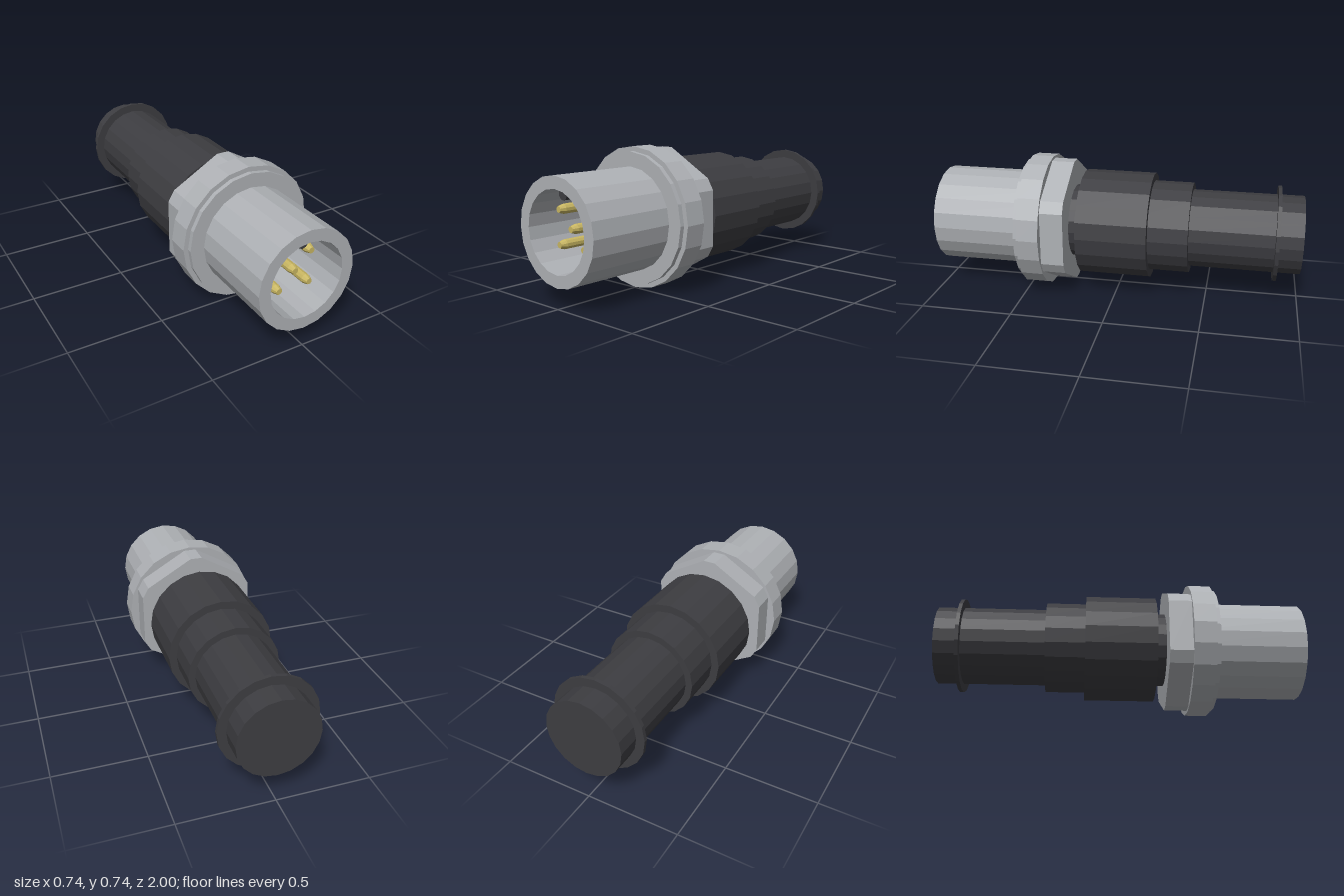
import * as THREE from 'three';

const AXIS_Y = 0.37;
const SIDES = 20;

export function createModel() {
  const metal = new THREE.MeshStandardMaterial({ color: 0xaeb1b5 });
  metal.name = 'nickel grey';
  const plastic = new THREE.MeshStandardMaterial({ color: 0x3d3d41 });
  plastic.name = 'black plastic';
  const gold = new THREE.MeshStandardMaterial({ color: 0xc8b662 });
  gold.name = 'gold contact';

  const connector = new THREE.Group();
  connector.name = 'connector';
  connector.position.y = AXIS_Y;

  // Adds a mesh with faceted normals
  function add(name, geometry, material, x = 0, y = 0) {
    const faceted = geometry.index ? geometry.toNonIndexed() : geometry;
    faceted.computeVertexNormals();
    const mesh = new THREE.Mesh(faceted, material);
    mesh.name = name;
    mesh.position.set(x, y, 0);
    connector.add(mesh);
    return mesh;
  }

  // Revolves [radius, z] pairs about the z axis, running from back to front
  function turned(profile, sides = SIDES) {
    const points = profile.map(([r, z]) => new THREE.Vector2(r, z));
    return new THREE.LatheGeometry(points, sides).rotateX(Math.PI / 2);
  }
  const rod = (r, z0, z1, sides) => turned([[0, z0], [r, z0], [r, z1], [0, z1]], sides);
  const sleeve = (outer, inner, z0, z1) =>
    turned([[inner, z0], [outer, z0], [outer, z1], [inner, z1], [inner, z0]]);

  // Threaded shell and stepped flange
  add('shell', sleeve(0.267, 0.204, 0.375, 1), metal);
  add('flange', turned([
    [0.26, 0.375], [0.368, 0.375], [0.368, 0.495], [0.343, 0.495], [0.343, 0.52], [0.26, 0.52],
  ]), metal);

  // Hexagonal nut with its corners cut back
  const apothem = 0.32, reach = 0.35;
  const cut = (apothem / Math.cos(Math.PI / 6) - reach) * Math.tan(Math.PI / 3);
  const outline = [];
  for (let i = 0; i < 6; i++) {
    const a = Math.PI / 2 + i * Math.PI / 3;
    for (const side of [-cut, cut]) {
      outline.push(new THREE.Vector2(
        reach * Math.cos(a) - side * Math.sin(a),
        reach * Math.sin(a) + side * Math.cos(a)));
    }
  }
  const nut = new THREE.ExtrudeGeometry(new THREE.Shape(outline), { depth: 0.125, bevelEnabled: false });
  add('hexNut', nut.translate(0, 0, 0.25), metal);

  // Contact insert, which continues back as the neck
  add('insert', rod(0.2035, 0.19, 0.47), plastic);

  // Stepped rear body, cable sleeve and end ring
  add('body', rod(0.292, -0.19, 0.195), plastic);
  add('rearCollar', rod(0.25, -0.405, -0.19), plastic);
  add('cableSleeve', rod(0.213, -1, -0.405), plastic);
  add('endRing', sleeve(0.26, 0.2, -0.877, -0.857), plastic);

  // Coding key along the top of the socket
  add('codingKey', rod(0.029, 0.47, 0.95, 10), plastic, 0, 0.173);

  // Five contact pins with tapered tips
  const spots = [[0, 0], [1, 1], [-1, 1], [-1, -1], [1, -1]];
  for (const [sx, sy] of spots) {
    const pin = turned([[0, 0.46], [0.025, 0.46], [0.025, 0.88], [0.016, 0.91], [0, 0.91]], 10);
    add('contactPin', pin, gold, sx * 0.087, sy * 0.087);
  }

  const model = new THREE.Group();
  model.name = 'cableConnector';
  model.add(connector);
  return model;
}
